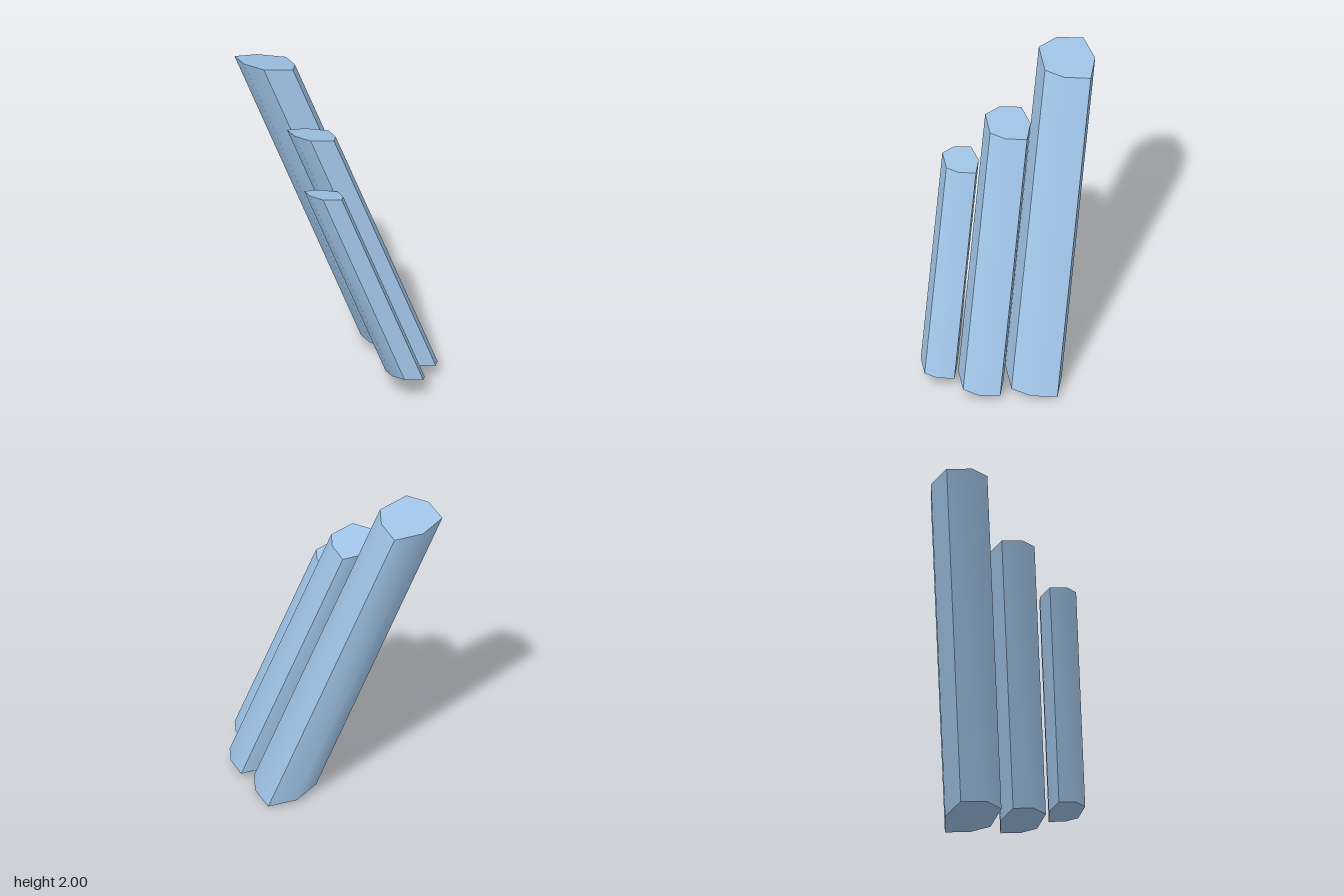
import * as THREE from 'three';
import { toCreasedNormals } from 'three/addons/utils/BufferGeometryUtils.js';

// Seven-sided crystal outline as [x, z], measured from its highest corner
const OUTLINE = [
  [-0.135, -0.275], [0.02, -0.35], [0.2, -0.325], [0.225, -0.16],
  [0.19, -0.04], [0, 0], [-0.105, -0.11],
];

// Leaning prism with tilted, parallel end faces
function crystalGeometry() {
  const shape = new THREE.Shape(OUTLINE.map(([x, z]) => new THREE.Vector2(x, -z)));
  const geo = new THREE.ExtrudeGeometry(shape, { depth: 1, bevelEnabled: false });
  geo.rotateX(-Math.PI / 2).translate(0, -1, 0);
  // Columns: x edge, long axis (bottom to top), z edge
  geo.applyMatrix4(new THREE.Matrix4().set(
    1, -0.76, 0, 0,
    -0.155, 1.91, 0.185, 0,
    0, -0.2, 1, 0,
    0, 0, 0, 1,
  ));
  // Wide corners are smooth, tight ones stay sharp
  return toCreasedNormals(geo, 0.8);
}

export function createModel() {
  const group = new THREE.Group();
  group.name = 'crystalCluster';
  const paleBlue = new THREE.MeshStandardMaterial({ color: 0x9fc3e6 });
  paleBlue.name = 'paleBlue';
  const geo = crystalGeometry();

  // One shape at three sizes, placed by its highest corner
  const crystals = [
    ['tallCrystal', 1, -0.45, 2.0, -0.19],
    ['middleCrystal', 0.805, -0.215, 1.65, 0.14],
    ['shortCrystal', 0.645, -0.185, 1.37, 0.405],
  ];
  for (const [name, size, x, y, z] of crystals) {
    const mesh = new THREE.Mesh(geo, paleBlue);
    mesh.name = name;
    mesh.scale.setScalar(size);
    mesh.position.set(x, y, z);
    group.add(mesh);
  }
  return group;
}
